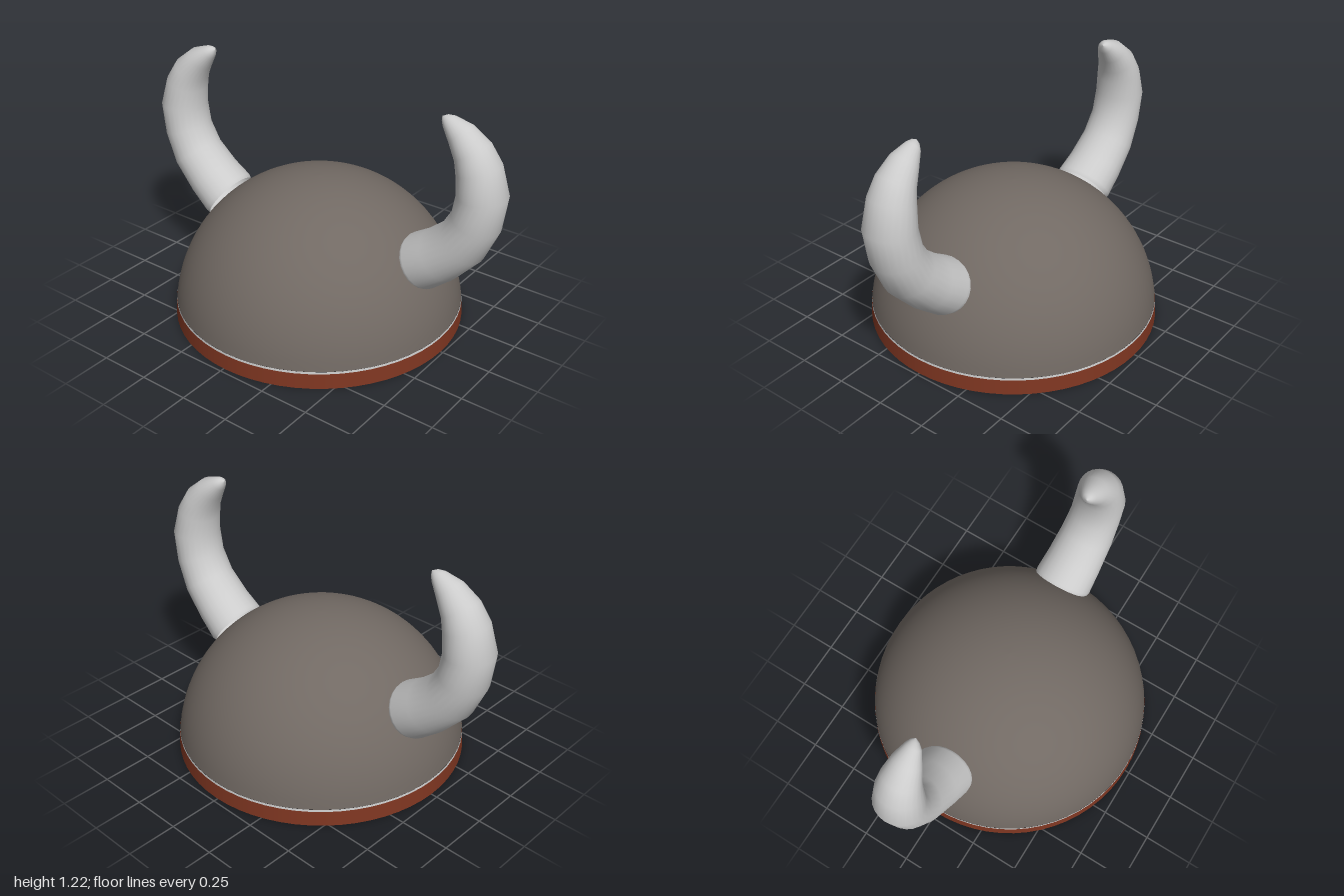
import * as THREE from 'three';

const R = 0.725; // dome radius

// Open shell turned around the vertical axis
function shell(name, points, color) {
  const mesh = new THREE.Mesh(
    new THREE.LatheGeometry(points.map(p => new THREE.Vector2(...p)), 64),
    new THREE.MeshStandardMaterial({ color, side: THREE.DoubleSide })
  );
  mesh.name = name;
  return mesh;
}

// Curved, tapering horn: elliptical rings [x, y, radius] swept along its centre line
function hornGeometry() {
  const rings = [
    [0.575, 0.43, 0.132], [0.595, 0.443, 0.138], [0.69, 0.512, 0.131], [0.80, 0.62, 0.123],
    [0.863, 0.745, 0.116], [0.885, 0.88, 0.114], [0.86, 1.0, 0.102], [0.825, 1.075, 0.087],
    [0.765, 1.143, 0.065], [0.705, 1.188, 0.036], [0.685, 1.201, 0.02], [0.673, 1.207, 0.001],
  ];
  const sides = 24, positions = [], index = [];
  rings.forEach(([x, y, r], i) => {
    const before = rings[Math.max(i - 1, 0)];
    const after = rings[Math.min(i + 1, rings.length - 1)];
    const t = new THREE.Vector2(after[0] - before[0], after[1] - before[1]).normalize();
    const z = -0.037 + 0.037 * i / (rings.length - 1);
    for (let j = 0; j < sides; j++) {
      const a = j / sides * Math.PI * 2;
      const out = r * Math.cos(a);
      positions.push(x + t.y * out, y - t.x * out, z + 1.1 * r * Math.sin(a));
      if (i < rings.length - 1) {
        const p = i * sides + j, q = i * sides + (j + 1) % sides;
        index.push(p, p + sides, q, q, p + sides, q + sides);
      }
    }
  });
  const geometry = new THREE.BufferGeometry();
  geometry.setAttribute('position', new THREE.Float32BufferAttribute(positions, 3));
  geometry.setIndex(index);
  geometry.computeVertexNormals();
  return geometry;
}

export function createModel() {
  const model = new THREE.Group();
  model.name = 'hornedHelmet';

  // Helmet: hollow dome, thin metal trim and leather rim band
  const helmet = new THREE.Group();
  helmet.name = 'helmet';
  helmet.position.x = 0.01;
  const dome = [];
  const start = Math.asin(0.088 / R);
  for (let i = 0; i <= 24; i++) {
    const a = start + (Math.PI / 2 - start) * i / 24;
    dome.push([Math.max(R * Math.cos(a), 0.0001), R * Math.sin(a)]);
  }
  helmet.add(
    shell('dome', dome, 0x716963),
    shell('trim', [[0.722, 0.077], [0.7205, 0.088]], 0xcccccc),
    shell('rimBand', [[0.727, 0], [0.722, 0.077]], 0x7f3621)
  );
  model.add(helmet);

  // Horns: the second is the first turned half a circle
  const geometry = hornGeometry();
  const material = new THREE.MeshStandardMaterial({ color: 0xcccccc, side: THREE.DoubleSide });
  const leftHorn = new THREE.Mesh(geometry, material);
  leftHorn.name = 'leftHorn';
  const rightHorn = new THREE.Mesh(geometry, material);
  rightHorn.name = 'rightHorn';
  rightHorn.rotation.y = Math.PI;
  rightHorn.position.z = -0.04;
  model.add(leftHorn, rightHorn);

  return model;
}
